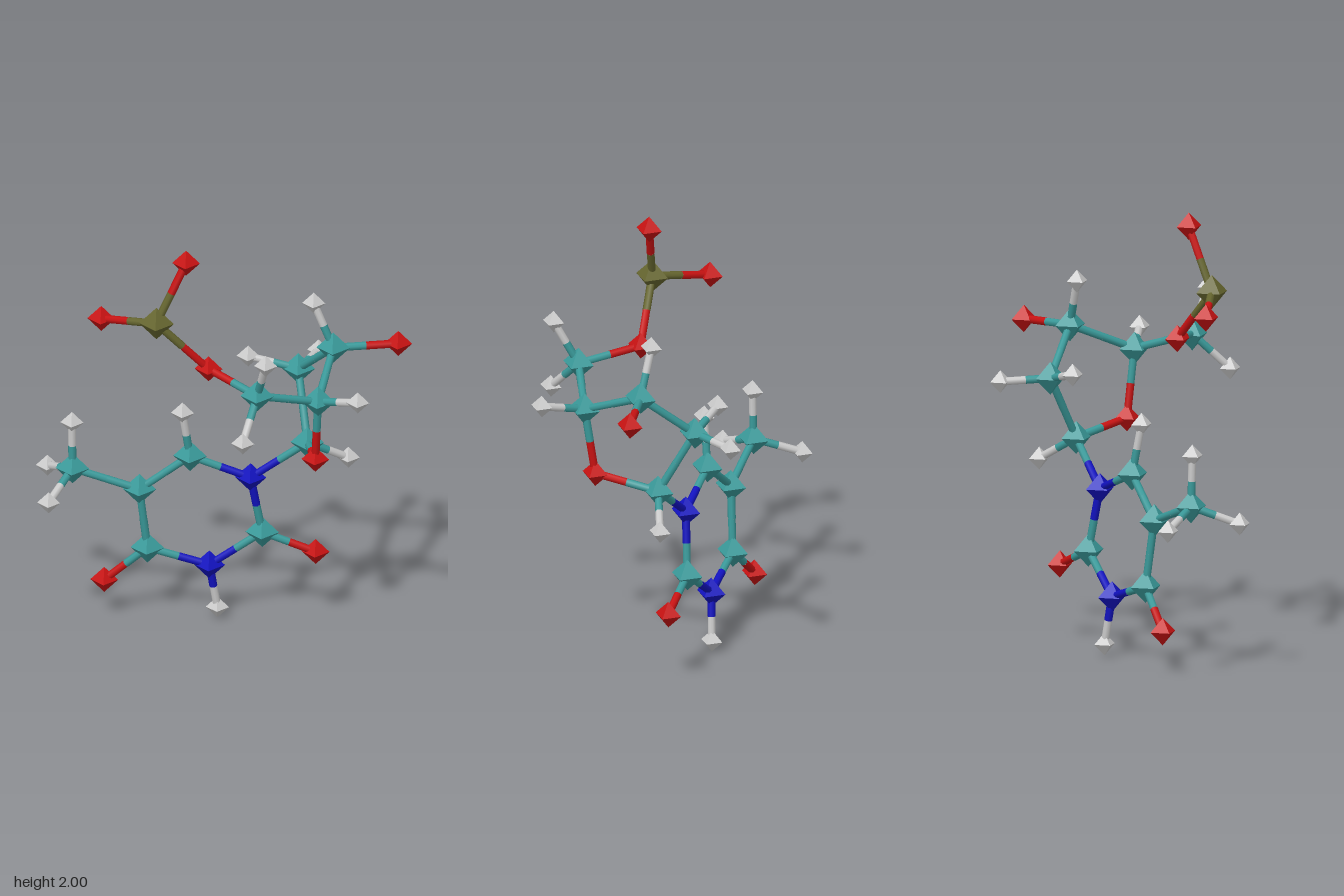
import * as THREE from 'three';

// Element styles: octahedron radius and colour
const ELEMENTS = {
  carbon: { r: 0.075, color: 0x3a9a9a },
  oxygen: { r: 0.062, color: 0xc81212 },
  nitrogen: { r: 0.07, color: 0x1212c0 },
  phosphorus: { r: 0.078, color: 0x66662f },
  hydrogen: { r: 0.052, color: 0xcccccc },
};
const BOND_RADIUS = 0.018;

// Atoms: name -> [element, x, y, z]
const ATOMS = {
  // flat six-sided ring
  N1: ['nitrogen', 0.12, 0.73, -0.155],
  C2: ['carbon', 0.17, 0.445, -0.185],
  N3: ['nitrogen', -0.067, 0.272, -0.193],
  C4: ['carbon', -0.343, 0.36, -0.17],
  C5: ['carbon', -0.377, 0.662, -0.145],
  C6: ['carbon', -0.15, 0.838, -0.135],
  O2: ['oxygen', 0.408, 0.346, -0.203],
  O4: ['oxygen', -0.537, 0.187, -0.187],
  H3: ['hydrogen', -0.032, 0.053, -0.212],
  H6: ['hydrogen', -0.182, 1.065, -0.105],
  // methyl group
  C7: ['carbon', -0.675, 0.77, -0.117],
  H71: ['hydrogen', -0.677, 1.0, -0.112],
  H72: ['hydrogen', -0.77, 0.69, 0.078],
  H73: ['hydrogen', -0.798, 0.692, -0.3],
  // sugar ring
  S1: ['carbon', 0.375, 0.92, -0.138],
  S2: ['carbon', 0.325, 1.21, -0.295],
  S3: ['carbon', 0.493, 1.41, -0.106],
  S4: ['carbon', 0.443, 1.286, 0.193],
  SO: ['oxygen', 0.428, 0.977, 0.148],
  O3: ['oxygen', 0.779, 1.4, -0.187],
  HS1: ['hydrogen', 0.553, 0.806, -0.23],
  HS2: ['hydrogen', 0.1, 1.26, -0.303],
  HS2b: ['hydrogen', 0.403, 1.2, -0.507],
  HS3: ['hydrogen', 0.405, 1.623, -0.118],
  HS4: ['hydrogen', 0.628, 1.346, 0.318],
  // side arm and phosphate
  S5: ['carbon', 0.18, 1.38, 0.346],
  HS5: ['hydrogen', 0.224, 1.58, 0.448],
  HS5b: ['hydrogen', 0.125, 1.22, 0.508],
  O5: ['oxygen', -0.05, 1.412, 0.147],
  P: ['phosphorus', -0.28, 1.655, 0.198],
  OP1: ['oxygen', -0.15, 1.937, 0.152],
  OP2: ['oxygen', -0.537, 1.592, 0.032],
};

// Each atom with the atoms it is bonded to, every bond listed once
const BONDS = {
  N1: ['C2', 'C6', 'S1'],
  N3: ['C2', 'C4', 'H3'],
  C2: ['O2'],
  C4: ['C5', 'O4'],
  C5: ['C6', 'C7'],
  C6: ['H6'],
  C7: ['H71', 'H72', 'H73'],
  S1: ['S2', 'SO', 'HS1'],
  S2: ['S3', 'HS2', 'HS2b'],
  S3: ['S4', 'O3', 'HS3'],
  S4: ['SO', 'S5', 'HS4'],
  S5: ['O5', 'HS5', 'HS5b'],
  P: ['O5', 'OP1', 'OP2'],
};

export function createModel() {
  const model = new THREE.Group();
  model.name = 'molecule';
  const atoms = new THREE.Group();
  atoms.name = 'atoms';
  const bonds = new THREE.Group();
  bonds.name = 'bonds';
  model.add(atoms, bonds);

  // Ball shape, flat ball material and smooth stick material per element
  const kit = {};
  for (const [name, { r, color }] of Object.entries(ELEMENTS)) {
    kit[name] = {
      ball: new THREE.OctahedronGeometry(r),
      ballMaterial: new THREE.MeshStandardMaterial({ color, flatShading: true }),
      stickMaterial: new THREE.MeshStandardMaterial({ color }),
    };
  }
  const position = (id) => new THREE.Vector3(...ATOMS[id].slice(1));

  // Balls
  for (const [id, [element]] of Object.entries(ATOMS)) {
    const ball = new THREE.Mesh(kit[element].ball, kit[element].ballMaterial);
    ball.name = `${element}Atom`;
    ball.position.copy(position(id));
    atoms.add(ball);
  }

  // Each bond is two half sticks, coloured like the atom they start at
  const stick = new THREE.CylinderGeometry(BOND_RADIUS, BOND_RADIUS, 1, 8, 1, true);
  stick.translate(0, 0.5, 0);
  const up = new THREE.Vector3(0, 1, 0);
  const addHalf = (from, to) => {
    const element = ATOMS[from][0];
    const start = position(from);
    const half = position(to).sub(start).multiplyScalar(0.5);
    const mesh = new THREE.Mesh(stick, kit[element].stickMaterial);
    mesh.name = `${element}HalfBond`;
    mesh.position.copy(start);
    mesh.scale.y = half.length();
    mesh.quaternion.setFromUnitVectors(up, half.normalize());
    bonds.add(mesh);
  };
  for (const [a, partners] of Object.entries(BONDS)) {
    for (const b of partners) {
      addHalf(a, b);
      addHalf(b, a);
    }
  }
  return model;
}
